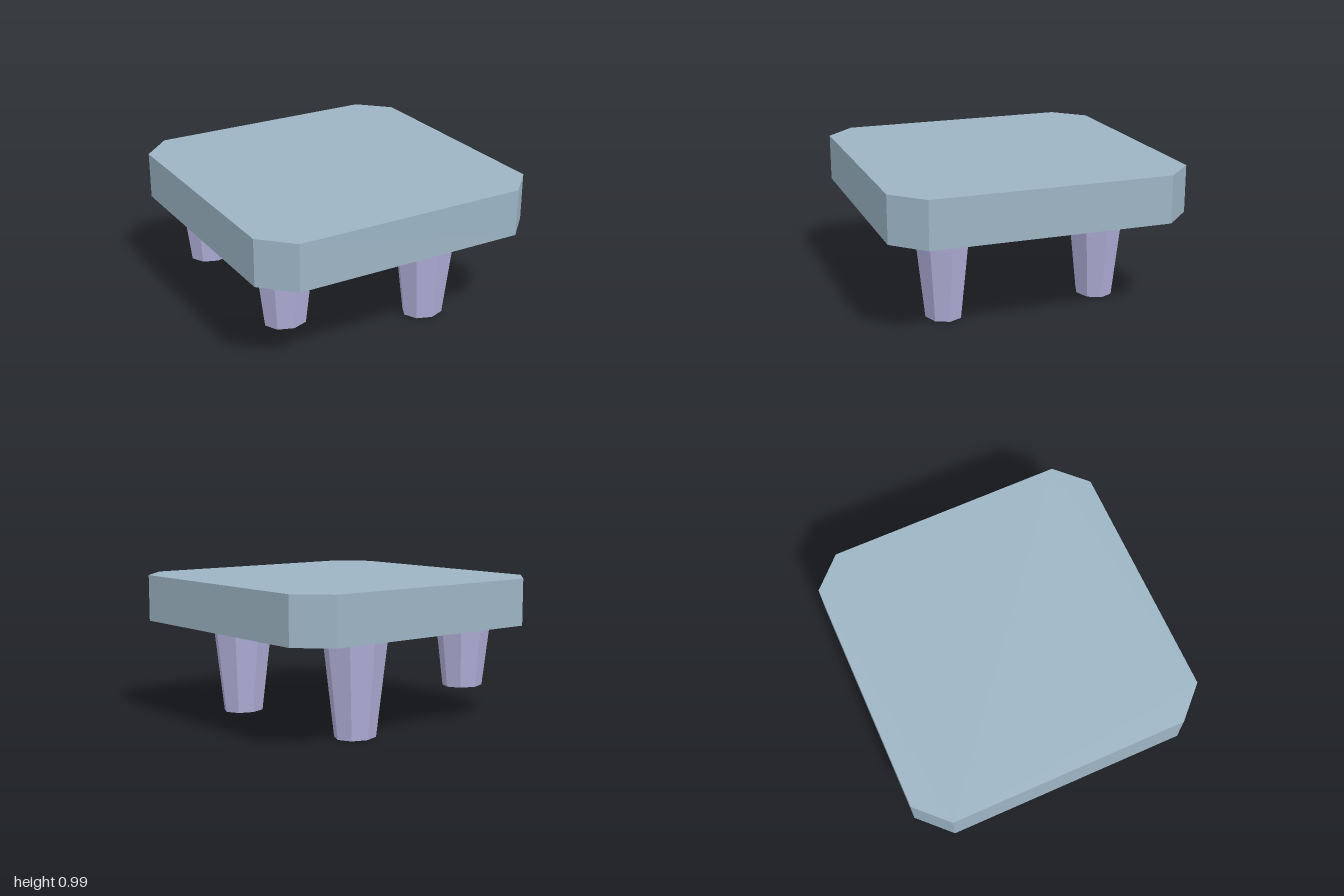
import * as THREE from 'three';

const SLAB_BOTTOM = 0.672;
const SLAB_TOP = 0.988;

export function createModel() {
  const model = new THREE.Group();
  model.name = 'table';

  const slate = new THREE.MeshStandardMaterial({ color: 0x9cb4c4, flatShading: true });
  slate.name = 'slateBlue';
  const lavender = new THREE.MeshStandardMaterial({ color: 0xb0aed8, flatShading: true, side: THREE.DoubleSide });
  lavender.name = 'lavender';

  // Square slab with clipped corners, extruded upwards
  const outline = [
    [-0.8, -1], [0.8, -1], [1, -0.8], [1, 0.8],
    [0.8, 1], [-0.8, 1], [-1, 0.8], [-1, -0.8],
  ].map(([x, y]) => new THREE.Vector2(x, y));
  const slabGeometry = new THREE.ExtrudeGeometry(new THREE.Shape(outline), {
    depth: SLAB_TOP - SLAB_BOTTOM,
    bevelEnabled: false,
  });
  slabGeometry.rotateX(-Math.PI / 2);
  slabGeometry.translate(0, SLAB_BOTTOM, 0);
  const slab = new THREE.Mesh(slabGeometry, slate);
  slab.name = 'tabletop';
  model.add(slab);

  // Tapered, hollow eight-sided legs, slightly narrower front to back
  const addLeg = (name, x, z, bottom, topRadius) => {
    const height = SLAB_BOTTOM - bottom;
    const geometry = new THREE.CylinderGeometry(topRadius, 0.145, height, 8, 1, true);
    geometry.scale(1, 1, 0.86);
    const leg = new THREE.Mesh(geometry, lavender);
    leg.name = name;
    leg.position.set(x, bottom + height / 2, z);
    model.add(leg);
  };
  addLeg('frontLeftLeg', 0.405, 0.537, 0.012, 0.227);
  addLeg('backLeftLeg', 0.31, -0.585, 0, 0.228);
  addLeg('frontRightLeg', -0.662, 0.54, 0.23, 0.2);
  addLeg('backRightLeg', -0.662, -0.583, 0.23, 0.2);

  return model;
}
